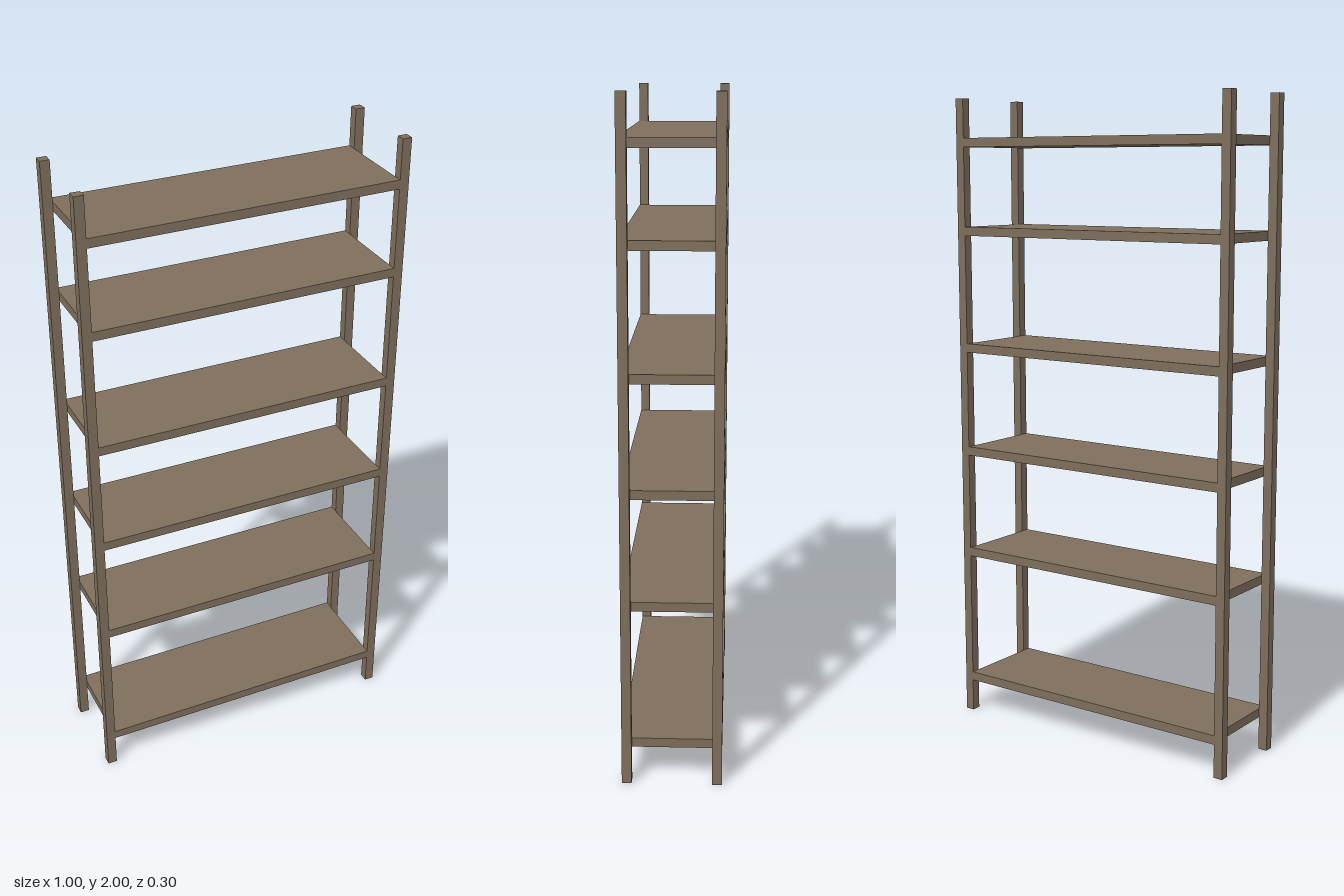
import * as THREE from 'three';

export function createModel() {
  const group = new THREE.Group();
  const wood = new THREE.MeshStandardMaterial({ color: 0x7e6e5c });
  wood.name = 'brown wood';

  const width = 1, depth = 0.296, height = 2, post = 0.029, thickness = 0.028;

  const addBox = (name, w, h, d, x, y, z) => {
    const mesh = new THREE.Mesh(new THREE.BoxGeometry(w, h, d), wood);
    mesh.name = name;
    mesh.position.set(x, y, z);
    group.add(mesh);
  };

  // Four square corner posts
  for (const sx of [-1, 1]) {
    for (const sz of [-1, 1]) {
      const name = (sz > 0 ? 'front' : 'back') + (sx > 0 ? 'Left' : 'Right') + 'Post';
      addBox(name, post, height, post,
        sx * (width - post) / 2, height / 2, sz * (depth - post) / 2);
    }
  }

  // Six shelves spanning between the posts, bottom to top
  [0.118, 0.546, 0.883, 1.219, 1.59, 1.865].forEach((y, i) => {
    addBox(`shelf${i + 1}`, width - 2 * post, thickness, depth, 0, y, 0);
  });

  return group;
}
